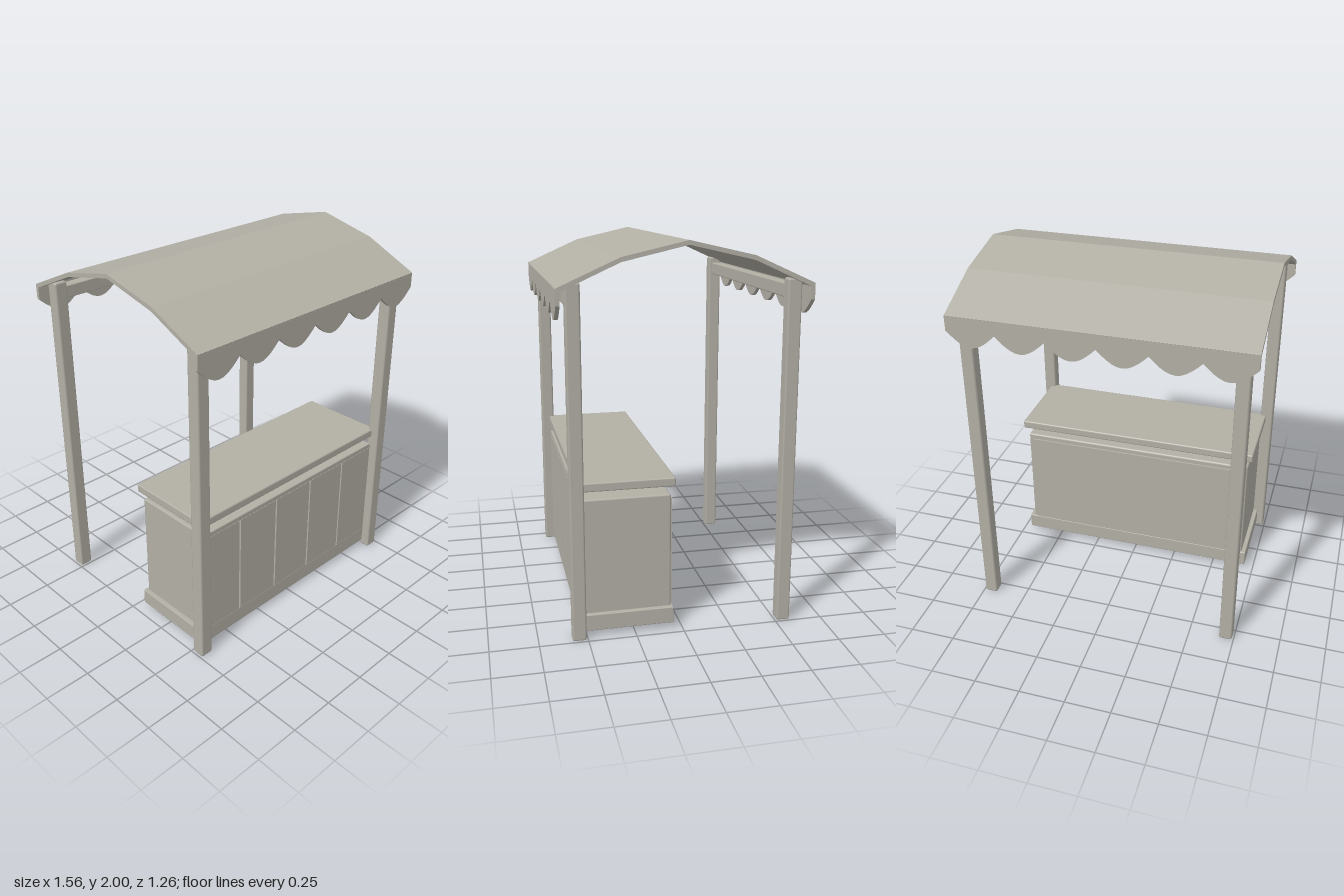
import * as THREE from 'three';
import { RoundedBoxGeometry } from 'three/addons/geometries/RoundedBoxGeometry.js';

const stone = new THREE.MeshStandardMaterial({ color: 0xb2afa5 });
stone.name = 'warm grey';

function add(group, name, geometry) {
  const mesh = new THREE.Mesh(geometry, stone);
  mesh.name = name;
  group.add(mesh);
  return mesh;
}

// Box given by its limits on each axis, with an optional small bevel
function box(group, name, [x0, x1], [y0, y1], [z0, z1], bevel = 0) {
  const size = [x1 - x0, y1 - y0, z1 - z0];
  const geometry = bevel
    ? new RoundedBoxGeometry(...size, 1, bevel)
    : new THREE.BoxGeometry(...size);
  add(group, name, geometry).position.set((x0 + x1) / 2, (y0 + y1) / 2, (z0 + z1) / 2);
}

// Arched roof sheet: profile in z and y, extruded along x
function roofGeometry(halfWidth) {
  const outer = [[-0.628, 1.79], [-0.325, 1.926], [0, 2], [0.325, 1.926], [0.628, 1.79]];
  const inner = outer.map(([z, y]) => [z * 0.99, y - 0.022]).reverse();
  const shape = new THREE.Shape([...outer, ...inner].map(([z, y]) => new THREE.Vector2(z, y)));
  return new THREE.ExtrudeGeometry(shape, { depth: halfWidth * 2, bevelEnabled: false })
    .translate(0, 0, -halfWidth)
    .rotateY(-Math.PI / 2);
}

// Hanging cloth edge with six scallops
function valanceGeometry(halfWidth, thickness) {
  const scallops = 6, steps = 10;
  const shape = new THREE.Shape();
  shape.moveTo(halfWidth, 1.788);
  shape.lineTo(-halfWidth, 1.788);
  for (let i = 0; i <= scallops * steps; i++) {
    const t = i / steps;
    const drop = 0.08 * Math.abs(Math.sin(Math.PI * t));
    shape.lineTo(-halfWidth + (2 * halfWidth * t) / scallops, 1.71 - drop);
  }
  return new THREE.ExtrudeGeometry(shape, { depth: thickness, bevelEnabled: false })
    .translate(0, 0, -thickness / 2);
}

export function createModel() {
  const stall = new THREE.Group();
  stall.name = 'marketStall';

  // Frame: four posts and the two beams under the eaves
  const frame = new THREE.Group();
  frame.name = 'frame';
  for (const sz of [1, -1]) {
    for (const sx of [1, -1]) {
      const post = add(frame, 'post', new RoundedBoxGeometry(0.072, 1.81, 0.072, 1, 0.01));
      post.position.set(sx * 0.705, 0.905, sz * 0.544);
    }
    const beam = add(frame, 'eavesBeam', new RoundedBoxGeometry(1.4, 0.07, 0.06, 1, 0.006));
    beam.position.set(0, 1.742, sz * 0.555);
  }
  stall.add(frame);

  // Awning: roof with a valance on each long side
  const awning = new THREE.Group();
  awning.name = 'awning';
  add(awning, 'roof', roofGeometry(0.782));
  for (const sz of [1, -1]) {
    add(awning, 'valance', valanceGeometry(0.782, 0.02)).position.z = sz * 0.618;
  }
  stall.add(awning);

  // Counter: cabinet, plinth, panels and raised top
  const counter = new THREE.Group();
  counter.name = 'counter';
  box(counter, 'cabinet', [-0.675, 0.675], [0.1, 0.73], [0.055, 0.515], 0.01);
  box(counter, 'plinth', [-0.7, 0.7], [0.03, 0.118], [0.045, 0.53], 0.005);
  box(counter, 'topRail', [-0.675, 0.675], [0.7, 0.73], [0.5, 0.53], 0.006);
  box(counter, 'backPanel', [-0.65, 0.65], [0.118, 0.7], [0.045, 0.06]);

  // Front planks with narrow gaps between them
  const edges = [-0.69, -0.415, -0.139, 0.136, 0.412, 0.69];
  for (let i = 0; i < 5; i++) {
    box(counter, 'frontPlank', [edges[i] + 0.005, edges[i + 1] - 0.005], [0.117, 0.701], [0.51, 0.53]);
  }
  box(counter, 'counterTop', [-0.7, 0.7], [0.778, 0.825], [0.037, 0.535], 0.008);
  stall.add(counter);

  return stall;
}
